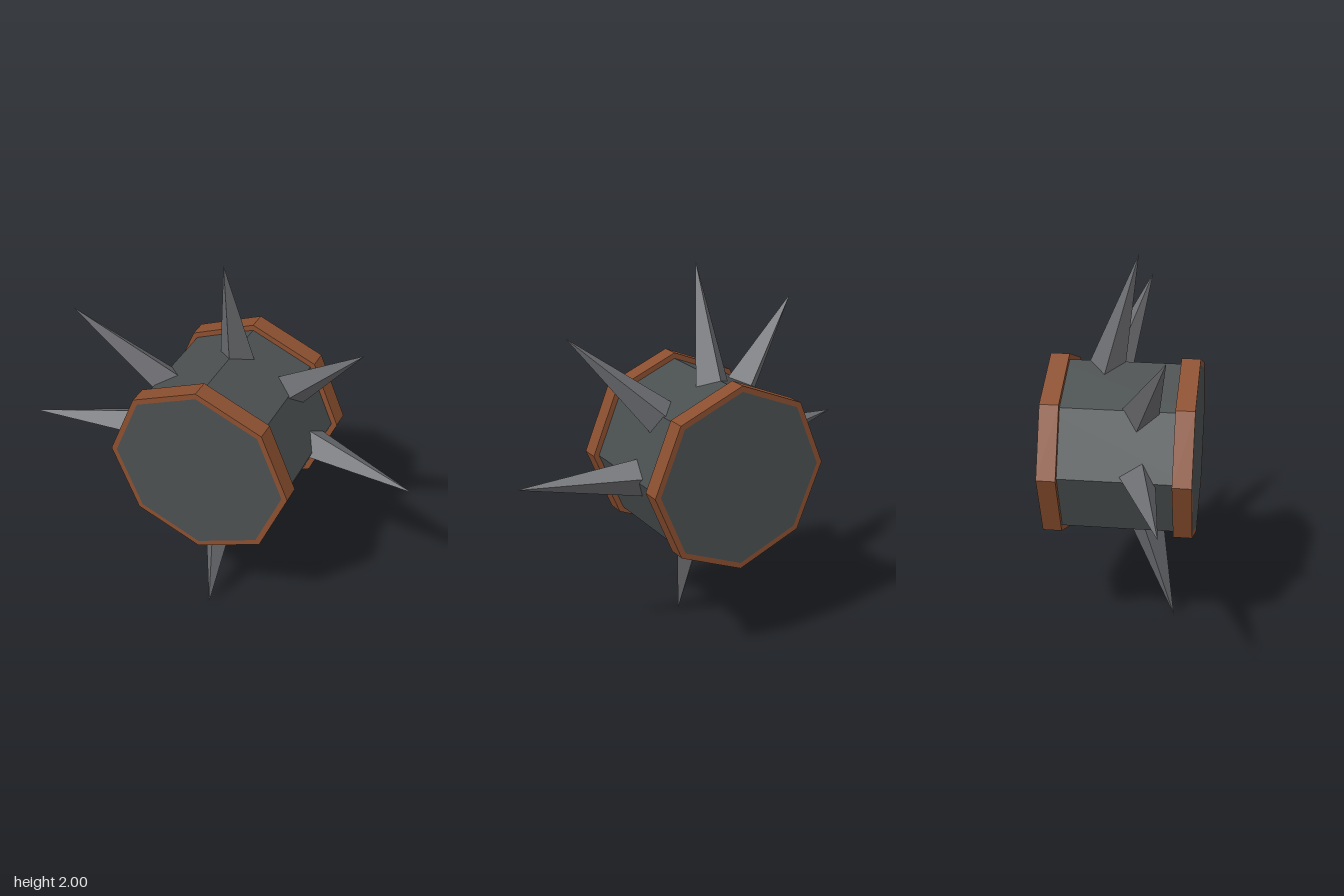
import * as THREE from 'three';

const SIDES = 8, BODY_R = 0.45, BAND_R = 0.48, HALF = 0.375, BAND_W = 0.095;
const TILT = THREE.MathUtils.degToRad(15);

// points of a regular octagon with a corner on each axis
const octagon = (r) => Array.from({ length: SIDES }, (_, i) => {
  const a = (i / SIDES) * Math.PI * 2;
  return new THREE.Vector2(Math.cos(a) * r, Math.sin(a) * r);
});

function material(name, color) {
  const m = new THREE.MeshStandardMaterial({ color, flatShading: true });
  m.name = name;
  return m;
}

export function createModel() {
  const group = new THREE.Group();
  group.name = 'spikedDrum';
  const darkMetal = material('dark metal', 0x4a4f50);
  const rust = material('rust brown', 0x8b4f30);
  const steel = material('steel grey', 0x6c6d71);

  const add = (name, geometry, mat) => {
    const mesh = new THREE.Mesh(geometry, mat);
    mesh.name = name;
    group.add(mesh);
    return mesh;
  };

  // eight-sided drum lying along z
  const drum = new THREE.CylinderGeometry(BODY_R, BODY_R, HALF * 2, SIDES);
  drum.rotateX(Math.PI / 2);
  add('drum', drum, darkMetal).position.y = 1;

  // raised band around each end
  const ring = new THREE.Shape(octagon(BAND_R));
  ring.holes.push(new THREE.Path(octagon(BODY_R).reverse()));
  const band = new THREE.ExtrudeGeometry(ring, { depth: BAND_W, bevelEnabled: false });
  add('frontBand', band, rust).position.set(0, 1, HALF - BAND_W);
  add('backBand', band, rust).position.set(0, 1, -HALF);

  // four-sided spikes leaning forward: [angle around the drum, z of the tip]
  const length = 0.62;
  const spike = new THREE.ConeGeometry(0.094, length, 4);
  spike.translate(0, -length / 2, 0); // origin at the tip
  const up = new THREE.Vector3(0, 1, 0);
  [[0, 0.065], [45, 0.065], [90, 0.065], [135, 0.265], [180, 0.265], [270, 0.265]].forEach(([deg, z]) => {
    const a = THREE.MathUtils.degToRad(deg);
    const x = Math.cos(a), y = Math.sin(a);
    const dir = new THREE.Vector3(x * Math.cos(TILT), y * Math.cos(TILT), Math.sin(TILT));
    const mesh = add(`spike${deg}`, spike, steel);
    mesh.quaternion.setFromUnitVectors(up, dir);
    mesh.position.set(x, 1 + y, z);
  });

  return group;
}
